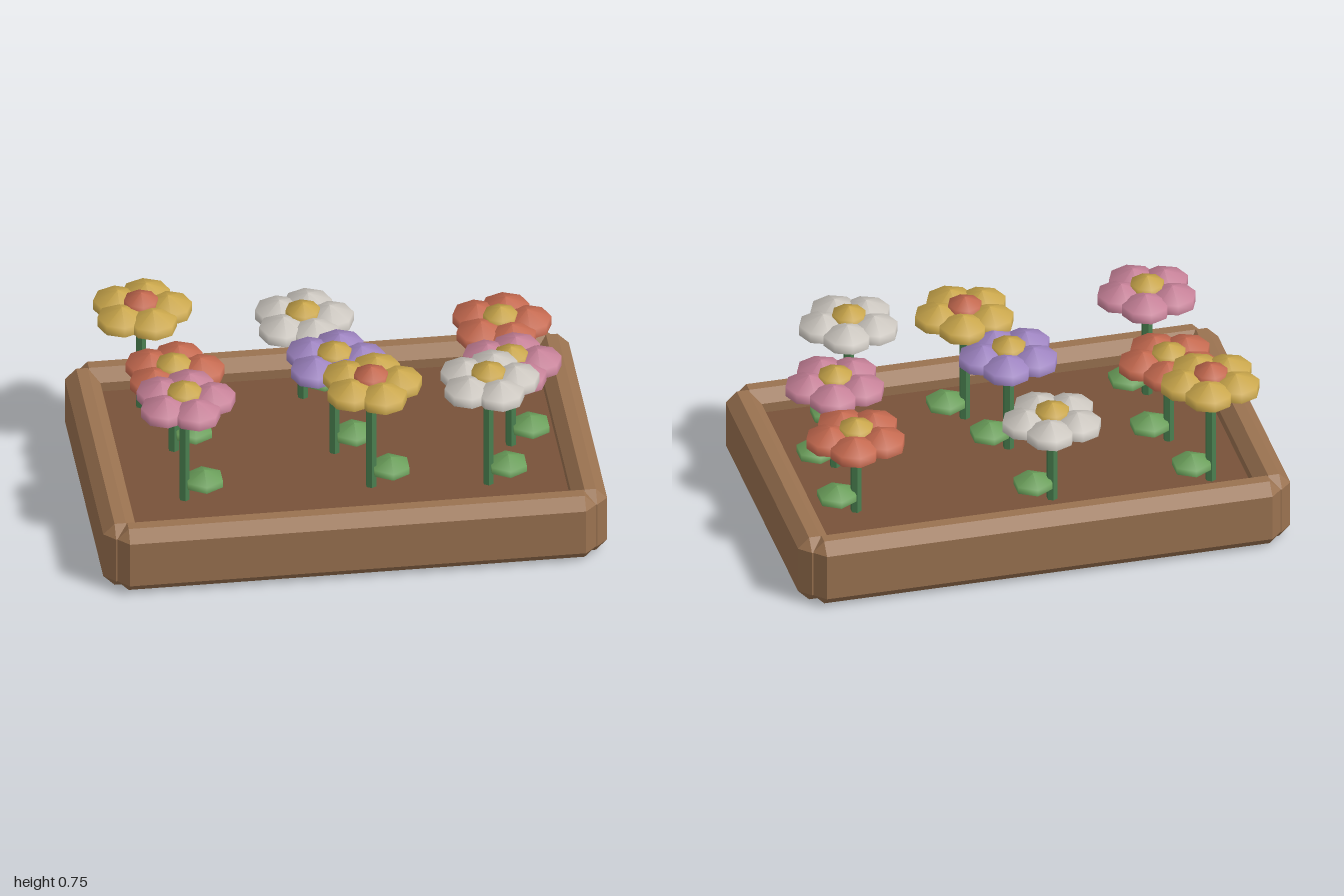
import * as THREE from 'three';
import { ConvexGeometry } from 'three/addons/geometries/ConvexGeometry.js';

const flat = (color) => new THREE.MeshStandardMaterial({ color, flatShading: true });
const smooth = (color) => new THREE.MeshStandardMaterial({ color, side: THREE.DoubleSide });

const petalMats = {
  yellow: smooth(0xc9a64b),
  red: smooth(0xc4694f),
  pink: smooth(0xc58097),
  white: smooth(0xcac5be),
  purple: smooth(0x9d83c0),
};
const wood = flat(0x9a7250);
const soilMat = flat(0x785239);
const stemMat = flat(0x4a8050);
const leafMat = smooth(0x6b9f5b);

// Open-bottomed cap: upright rim below a shallow cone
const cap = (r, bottom, rim, apex, sides) =>
  new THREE.LatheGeometry([
    new THREE.Vector2(r, bottom),
    new THREE.Vector2(r, rim),
    new THREE.Vector2(0, apex),
  ], sides);

const petalGeo = cap(0.096, -0.024, 0.018, 0.057, 8);
const centerGeo = cap(0.068, 0.005, 0.05, 0.078, 8);
const leafGeo = cap(0.08, -0.02, 0.008, 0.04, 6);

// Box with every edge and corner cut at 45 degrees
function chamferBox(w, h, d, c) {
  const pts = [];
  for (const x of [-1, 1]) for (const y of [-1, 1]) for (const z of [-1, 1]) {
    const X = w / 2, Y = h / 2, Z = d / 2;
    pts.push(
      new THREE.Vector3(x * X, y * (Y - c), z * (Z - c)),
      new THREE.Vector3(x * (X - c), y * Y, z * (Z - c)),
      new THREE.Vector3(x * (X - c), y * (Y - c), z * Z));
  }
  return new ConvexGeometry(pts);
}

function add(parent, name, geo, material, x = 0, y = 0, z = 0) {
  const m = new THREE.Mesh(geo, material);
  m.name = name;
  m.position.set(x, y, z);
  parent.add(m);
}

const SOIL_TOP = 0.2, SOIL_BOTTOM = 0.15;

function makeFlower(x, z, y, color) {
  const g = new THREE.Group();
  g.name = color + 'Flower';
  g.position.set(x, 0, z);

  // Stem and the leaf beside its foot
  const len = y + 0.03 - SOIL_TOP;
  add(g, 'stem', new THREE.CylinderGeometry(0.022, 0.022, len, 6), stemMat, 0, SOIL_TOP + len / 2, 0);
  add(g, 'leaf', leafGeo, leafMat, 0.078, 0.285, 0);

  // Ring of five petals around a raised centre
  for (let i = 0; i < 5; i++) {
    const a = (i * Math.PI * 2) / 5;
    add(g, 'petal', petalGeo, petalMats[color], Math.cos(a) * 0.106, y, Math.sin(a) * 0.106);
  }
  add(g, 'flowerCenter', centerGeo, petalMats[color === 'yellow' ? 'red' : 'yellow'], 0, y, 0);
  return g;
}

export function createModel() {
  const model = new THREE.Group();
  model.name = 'flowerPlanter';

  // Frame of four chamfered beams
  const H = 0.285, T = 0.135, C = 0.045, HALF_DEPTH = 0.657;
  const longBeam = chamferBox(1.9, H, T, C);
  const shortBeam = chamferBox(T, H, 1.225, C);
  for (const s of [-1, 1]) {
    add(model, s > 0 ? 'frontBeam' : 'backBeam', longBeam, wood, 0, H / 2, s * (HALF_DEPTH - T / 2));
    add(model, s > 0 ? 'leftBeam' : 'rightBeam', shortBeam, wood, s * (1 - T / 2), H / 2, 0);
  }

  // Thin soil slab held inside the frame
  add(model, 'soil', new THREE.BoxGeometry(1.74, SOIL_TOP - SOIL_BOTTOM, 1.06), soilMat,
    0, (SOIL_TOP + SOIL_BOTTOM) / 2, 0);

  // Flowers: x, z, head height, colour
  const flowers = [
    [-0.72, -0.40, 0.65, 'yellow'],
    [-0.635, -0.07, 0.56, 'red'],
    [-0.64, 0.29, 0.66, 'pink'],
    [-0.08, -0.383, 0.56, 'white'],
    [-0.01, 0.03, 0.625, 'purple'],
    [0.10, 0.293, 0.675, 'yellow'],
    [0.69, -0.28, 0.54, 'red'],
    [0.685, 0.067, 0.575, 'pink'],
    [0.56, 0.335, 0.677, 'white'],
  ];
  for (const f of flowers) model.add(makeFlower(...f));

  return model;
}
